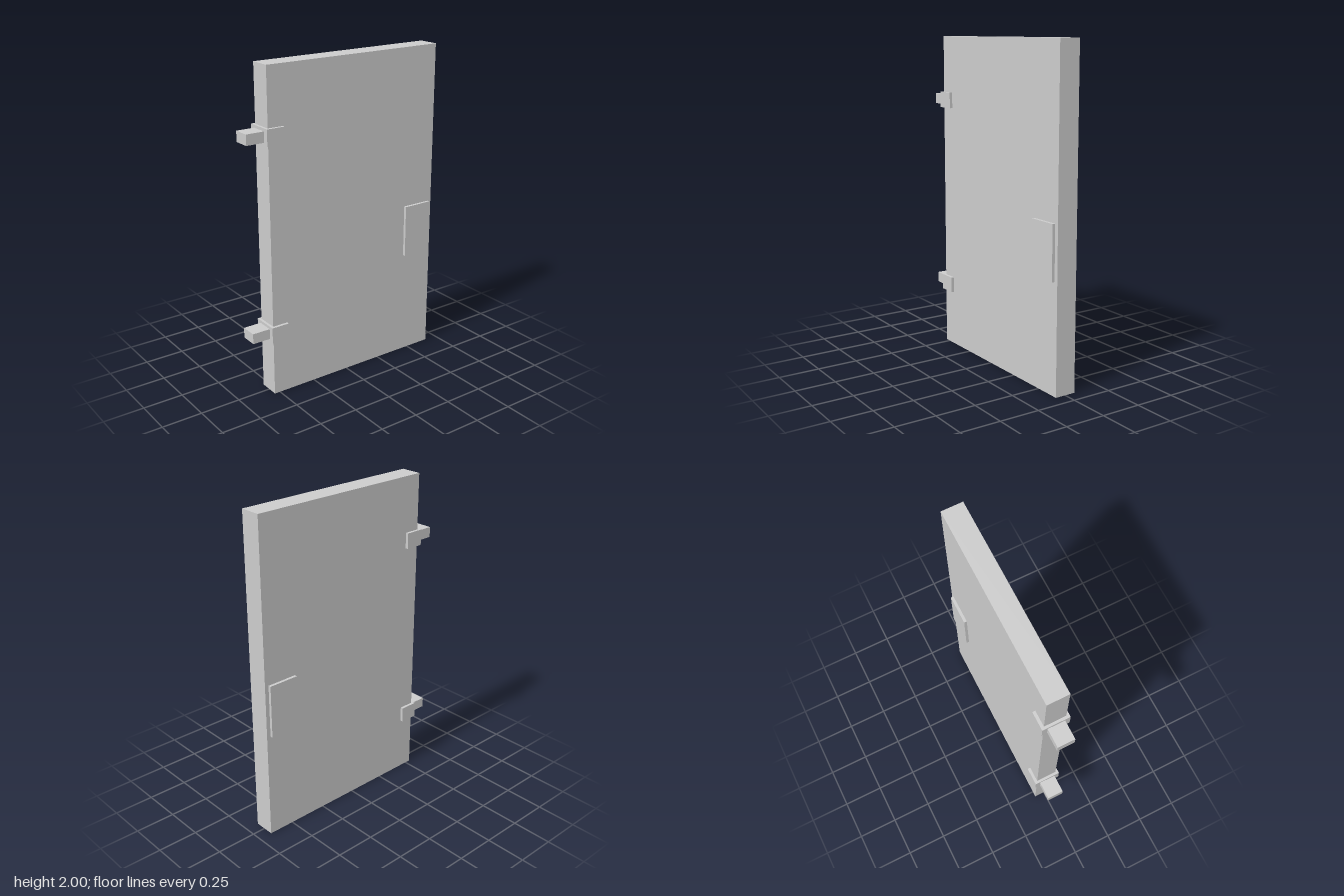
import * as THREE from 'three';

const material = new THREE.MeshStandardMaterial({ color: 0xcccccc, flatShading: true });

// Box given by its extents on each axis
function box(name, [x0, x1], [y0, y1], [z0, z1]) {
  const mesh = new THREE.Mesh(new THREE.BoxGeometry(x1 - x0, y1 - y0, z1 - z0), material);
  mesh.position.set((x0 + x1) / 2, (y0 + y1) / 2, (z0 + z1) / 2);
  mesh.name = name;
  return mesh;
}

const EDGE = -0.536;      // hinge-side edge of the door
const HALF = 0.066;       // half the door thickness
const OUTER = 0.084;      // outer face of plates and brackets

// U-shaped bracket clasping the door edge, with a square pin pointing outward
function createHinge(y) {
  const hinge = new THREE.Group();
  hinge.name = 'hinge';
  const back = -0.552, tip = -0.438, height = 0.098;
  const profile = new THREE.Shape([
    [back, -OUTER], [tip, -OUTER], [tip, -HALF], [EDGE, -HALF],
    [EDGE, HALF], [tip, HALF], [tip, OUTER], [back, OUTER],
  ].map(([x, z]) => new THREE.Vector2(x, z)));
  const geometry = new THREE.ExtrudeGeometry(profile, { depth: height, bevelEnabled: false });
  geometry.rotateX(-Math.PI / 2).translate(0, -height / 2, 0);
  const bracket = new THREE.Mesh(geometry, material);
  bracket.name = 'hingeBracket';
  hinge.add(bracket, box('hingePin', [-0.666, back], [-0.032, 0.032], [-0.052, 0.052]));
  hinge.position.y = y;
  return hinge;
}

export function createModel() {
  const door = new THREE.Group();
  door.name = 'door';
  door.add(box('doorPanel', [EDGE, 0.666], [0, 2], [-HALF, HALF]));

  // Lock plates on both faces
  door.add(box('frontLockPlate', [0.449, 0.641], [0.67, 1], [HALF, OUTER]));
  door.add(box('backLockPlate', [0.449, 0.641], [0.67, 1], [-OUTER, -HALF]));

  for (const y of [0.402, 1.603]) door.add(createHinge(y));
  return door;
}
